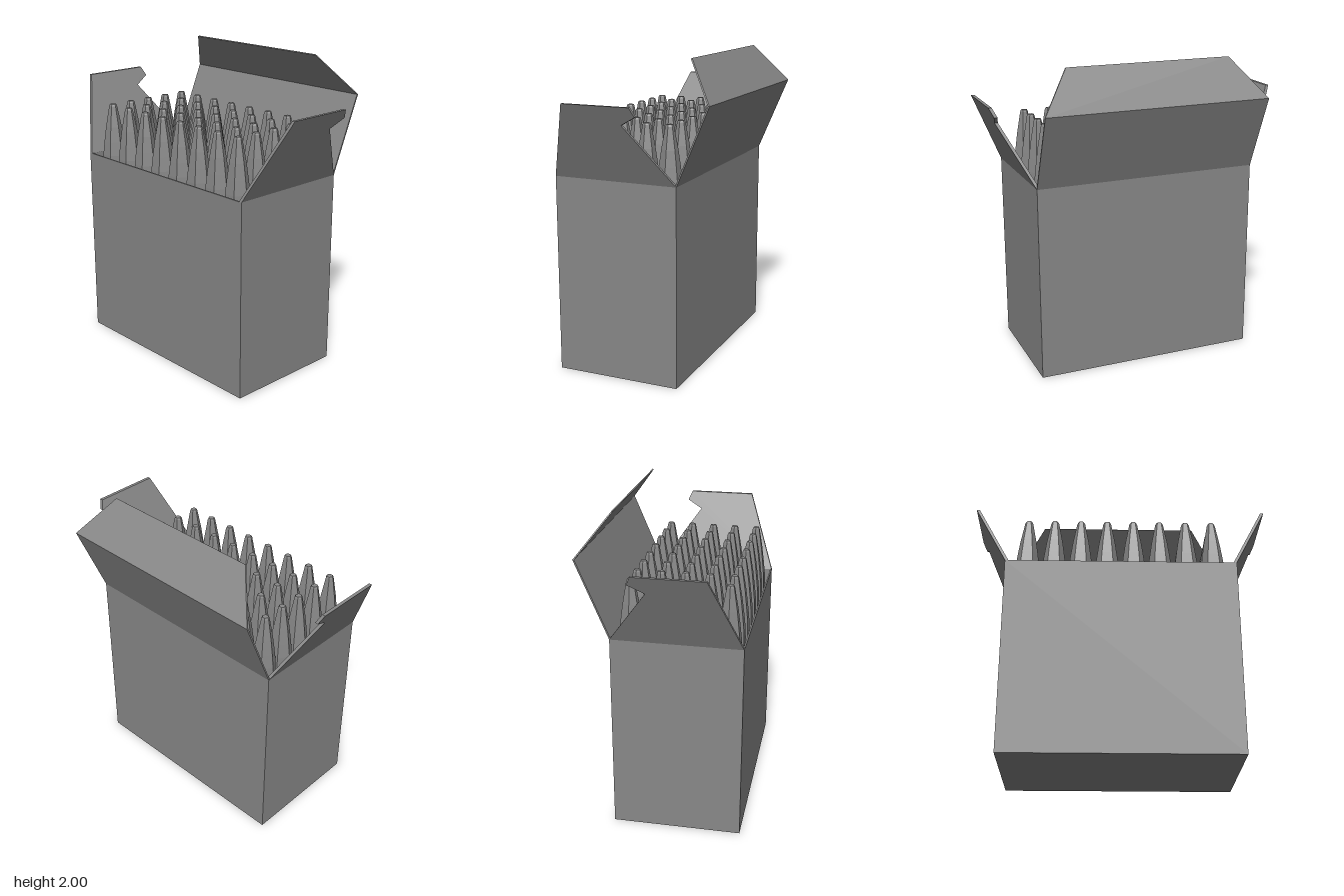
import * as THREE from 'three';

const W = 0.735, BACK = -0.3, FRONT = 0.51, RIM = 1.267, FOLD = 1.752;

const polygon = pts => new THREE.Shape(pts.map(([a, b]) => new THREE.Vector2(a, b)));
const extrude = (shape, depth) => new THREE.ExtrudeGeometry(shape, { depth, bevelEnabled: false });

// Moves every vertex by a rule, then refreshes the flat normals
function reshape(geometry, rule) {
  const p = geometry.attributes.position, v = new THREE.Vector3();
  for (let i = 0; i < p.count; i++) {
    rule(v.fromBufferAttribute(p, i));
    p.setXYZ(i, v.x, v.y, v.z);
  }
  geometry.computeVertexNormals();
  return geometry;
}

export function createModel() {
  const group = new THREE.Group();
  const card = new THREE.MeshStandardMaterial({ color: 0x888888, flatShading: true });
  const add = (name, geometry, parent = group) => {
    const mesh = new THREE.Mesh(geometry, card);
    mesh.name = name;
    parent.add(mesh);
    return mesh;
  };

  // Box walls: a rectangular tube whose inside widens towards the rim
  const walls = polygon([[-W, -FRONT], [W, -FRONT], [W, -BACK], [-W, -BACK]]);
  walls.holes.push(polygon([[-0.69, -0.485], [-0.69, 0.28], [0.69, 0.28], [0.69, -0.485]]));
  const tube = extrude(walls, RIM).rotateX(-Math.PI / 2);
  add('boxWalls', reshape(tube, v => {
    if (v.y > 1 && Math.abs(v.x) < 0.7) {
      v.x = Math.sign(v.x) * 0.722;
      v.z = v.z > 0 ? 0.5 : -0.29;
    }
  }));

  // Box floor
  const floor = new THREE.BoxGeometry(1.4, 0.015, 0.79);
  add('boxFloor', floor.translate(0, 0.0075, (FRONT + BACK) / 2));

  // Side flaps: notched outline (z, y), leaning outwards
  const outline = [[FRONT, RIM], [0.325, FOLD], [-0.11, FOLD], [-0.135, 1.695], [-0.035, 1.64], [BACK, RIM]];
  const thick = 0.021;
  for (const side of [1, -1]) {
    const flap = extrude(polygon(outline), thick).rotateY(-Math.PI / 2);
    flap.translate(side > 0 ? W : thick - W, 0, 0);
    add(side > 0 ? 'leftFlap' : 'rightFlap',
      reshape(flap, v => { v.x += side * (v.y - RIM) * 0.472; }));
  }

  // Lid: bent strip profile (z, y) across the back, tuck panel narrowing to its tip
  const strip = [[BACK, RIM], [-0.505, FOLD], [-0.315, 2], [-0.309, 1.995], [-0.495, FOLD], [-0.29, RIM]];
  const lid = extrude(polygon(strip), 2 * W).rotateY(-Math.PI / 2).translate(W, 0, 0);
  add('lid', reshape(lid, v => {
    v.x *= 1 - Math.max(0, v.y - FOLD) / (2 - FOLD) * 0.265;
  }));

  // Crayons: six-sided sticks with curved, blunt tips
  const profile = [[0, 0.015], [0.08, 0.015], [0.08, 1.2], [0.077, 1.27], [0.066, 1.36],
    [0.052, 1.46], [0.026, 1.6], [0.02, 1.612], [0, 1.612]].map(([r, y]) => new THREE.Vector2(r, y));
  const stick = new THREE.LatheGeometry(profile, 6, Math.PI / 2);
  const crayons = new THREE.Group();
  crayons.name = 'crayons';
  group.add(crayons);
  for (let row = 0; row < 5; row++) {
    for (let col = 0; col < 8; col++) {
      add('crayon', stick, crayons).position.set(-0.601 + col * 0.1707, 0, -0.196 + row * 0.15);
    }
  }
  return group;
}
